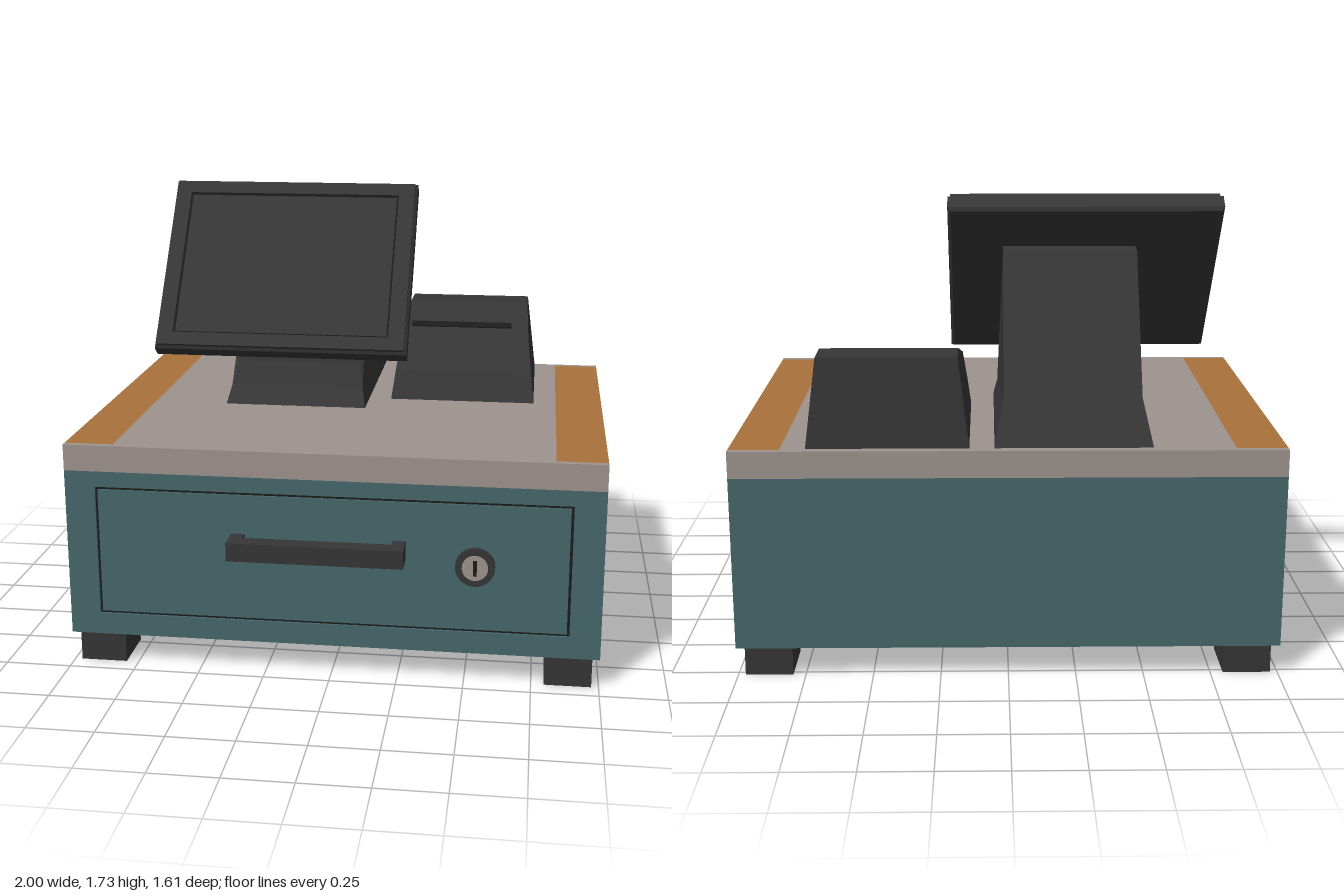
import * as THREE from 'three';

const mat = (name, color, side = THREE.FrontSide) => {
  const m = new THREE.MeshStandardMaterial({ color, side });
  m.name = name;
  return m;
};

export function createModel() {
  const teal = mat('teal paint', 0x47686b);
  const grey = mat('warm grey', 0x9f948e);
  const wood = mat('wood', 0xa9713a);
  const dark = mat('dark plastic', 0x363636);
  const black = mat('black slot', 0x1c1c1c);

  const root = new THREE.Group();
  root.name = 'cashRegister';

  const add = (name, geometry, material, parent = root) => {
    const mesh = new THREE.Mesh(geometry, material);
    mesh.name = name;
    parent.add(mesh);
    return mesh;
  };
  // Box given by its limits on each axis
  const box = (name, material, x0, x1, y0, y1, z0, z1, parent = root) => {
    const mesh = add(name, new THREE.BoxGeometry(x1 - x0, y1 - y0, z1 - z0), material, parent);
    mesh.position.set((x0 + x1) / 2, (y0 + y1) / 2, (z0 + z1) / 2);
    return mesh;
  };
  const rect = (T, x0, x1, y0, y1) =>
    new T().moveTo(x0, y0).lineTo(x1, y0).lineTo(x1, y1).lineTo(x0, y1).closePath();
  // Flat frame with a rectangular opening
  const frame = (outer, inner, depth) => {
    const s = rect(THREE.Shape, ...outer);
    s.holes.push(rect(THREE.Path, ...inner));
    return new THREE.ExtrudeGeometry(s, { depth, bevelEnabled: false });
  };
  // Side profile of [z, y] points, stretched across x to a half width that depends on y
  const housing = (points, halfWidth) => {
    const s = new THREE.Shape(points.map(([z, y]) => new THREE.Vector2(z, y)));
    const g = new THREE.ExtrudeGeometry(s, { depth: 2, bevelEnabled: false });
    g.translate(0, 0, -1).rotateY(-Math.PI / 2);
    const p = g.attributes.position;
    for (let i = 0; i < p.count; i++) p.setX(i, p.getX(i) * halfWidth(p.getY(i)));
    g.computeVertexNormals();
    return g;
  };

  // Cabinet with a grooved drawer front
  box('cabinet', teal, -1, 1, 0.12, 0.77, -0.805, 0.69);
  add('drawerSurround', frame([-1, 1, 0.12, 0.77], [-0.885, 0.885, 0.205, 0.71], 0.01), teal)
    .position.z = 0.69;
  box('drawerGroove', black, -0.885, 0.885, 0.205, 0.71, 0.688, 0.692);
  box('drawerFront', teal, -0.875, 0.875, 0.215, 0.70, 0.69, 0.70);

  // Feet
  for (const s of [-1, 1])
    for (const [z0, z1] of [[0.48, 0.68], [-0.77, -0.56]])
      box('foot', dark, s * 0.885 - 0.088, s * 0.885 + 0.088, 0, 0.12, z0, z1);

  // Counter top with wooden side strips and grey end caps
  box('counterTop', grey, -0.815, 0.815, 0.77, 0.87, -0.805, 0.70);
  for (const s of [-1, 1]) {
    const [x0, x1] = s > 0 ? [0.815, 1] : [-1, -0.815];
    box('woodStrip', wood, x0, x1, 0.77, 0.87, -0.78, 0.675);
    box('stripFrontCap', grey, x0, x1, 0.77, 0.87, 0.675, 0.70);
    box('stripBackCap', grey, x0, x1, 0.77, 0.87, -0.805, -0.78);
  }

  // Drawer handle
  const handle = new THREE.Group();
  handle.name = 'handle';
  root.add(handle);
  box('handleBar', dark, -0.37, 0.28, 0.48, 0.55, 0.74, 0.805, handle);
  box('handlePost', dark, -0.37, -0.32, 0.48, 0.55, 0.70, 0.74, handle);
  box('handlePost', dark, 0.23, 0.28, 0.48, 0.55, 0.70, 0.74, handle);

  // Lock
  const lock = new THREE.Group();
  lock.name = 'lock';
  lock.position.set(0.535, 0.465, 0.70);
  root.add(lock);
  const disc = (name, r, h, material) =>
    add(name, new THREE.CylinderGeometry(r, r, h, 32).rotateX(Math.PI / 2).translate(0, 0, h / 2), material, lock);
  disc('lockRing', 0.073, 0.018, dark);
  disc('lockFace', 0.048, 0.023, grey);
  box('keySlot', black, -0.007, 0.007, -0.03, 0.03, 0.02, 0.026, lock);

  // Display stand: flared foot, straight sides above
  const standHalf = y => 0.25 + 0.035 * Math.max(0, (1.03 - y) / 0.16);
  add('displayStand', housing([
    [0.05, 0.87], [0.0, 0.94], [-0.045, 1.03], [-0.068, 1.12], [-0.08, 1.22], [-0.1, 1.27],
    [-0.3, 1.53], [-0.37, 1.515], [-0.68, 1.03], [-0.77, 0.87],
  ], standHalf), dark).position.x = -0.235;

  // Tilted display
  const display = new THREE.Group();
  display.name = 'display';
  display.position.set(-0.29, 1.4, -0.155);
  display.rotation.x = -0.66;
  root.add(display);
  const w = 0.51, h = 0.39, c = 0.012;
  const back = new THREE.ExtrudeGeometry(rect(THREE.Shape, -w + c, w - c, -h + c, h - c), {
    depth: 0.055, bevelEnabled: true, bevelSegments: 1, bevelSize: c, bevelThickness: c,
  });
  add('displayBack', back, dark, display).position.z = -0.033;
  const e = w - 0.01, f = h - 0.01;
  add('displayBezel', frame([-e, e, -f, f], [-0.44, 0.435, -0.325, 0.325], 0.014), dark, display)
    .position.z = 0.032;
  box('screenGap', black, -0.44, 0.435, -0.325, 0.325, 0.03, 0.036, display);
  box('screen', dark, -0.432, 0.427, -0.317, 0.317, 0.032, 0.038, display);

  // Receipt printer
  const printer = new THREE.Group();
  printer.name = 'receiptPrinter';
  printer.position.x = 0.4325;
  root.add(printer);
  add('printerBody', housing([
    [-0.11, 0.87], [-0.16, 0.985], [-0.26, 1.11], [-0.58, 1.195], [-0.735, 1.195], [-0.77, 0.87],
  ], y => 0.2925 - 0.04 * (y - 0.87) / 0.325), dark, printer);
  const slot = add('paperSlot', new THREE.BoxGeometry(0.42, 0.006, 0.045), black, printer);
  slot.position.set(-0.02, 1.138, -0.36);
  slot.rotation.x = Math.atan2(0.085, 0.32);

  return root;
}
